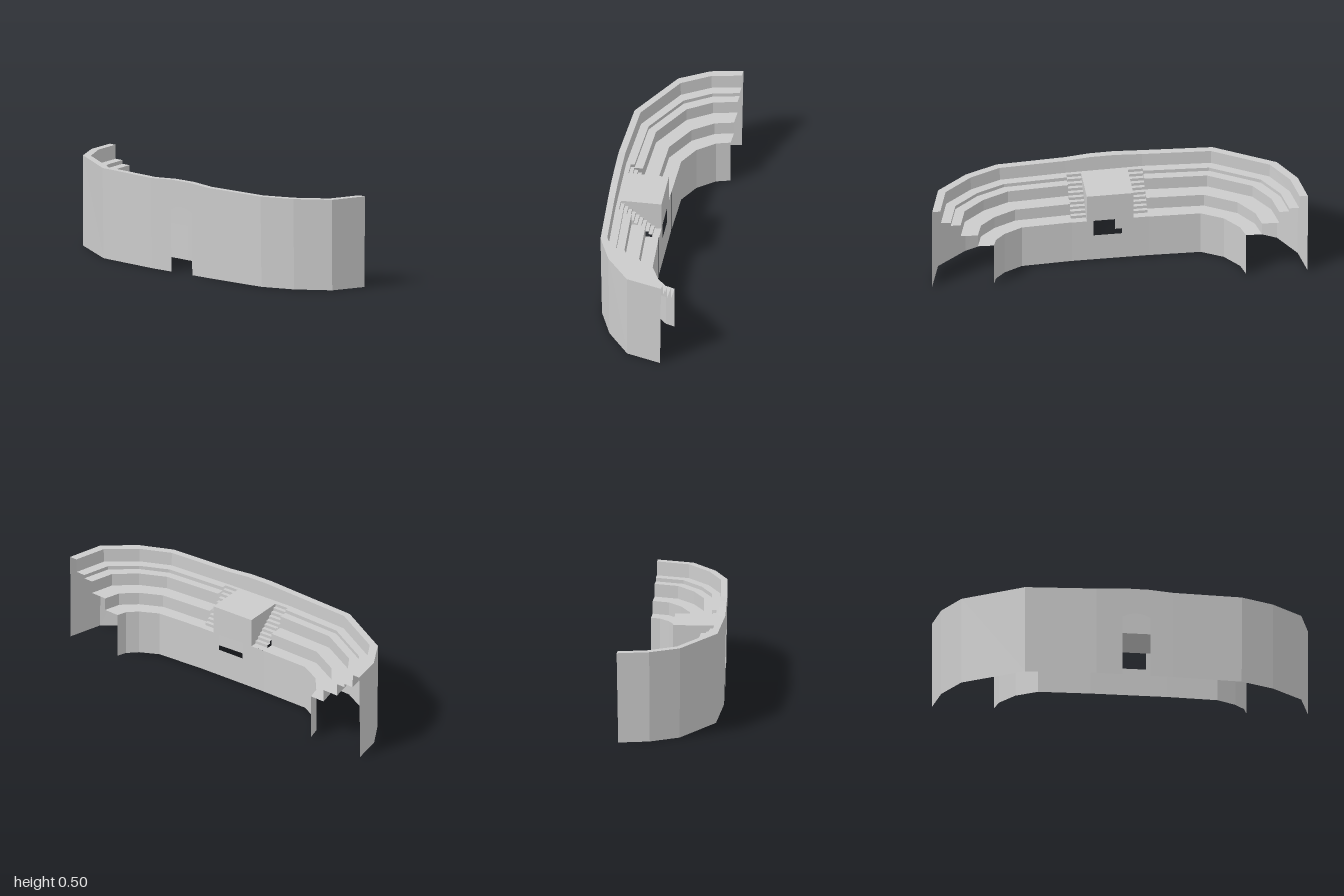
import * as THREE from 'three';

const material = new THREE.MeshStandardMaterial({ color: 0xcccccc, flatShading: true, side: THREE.DoubleSide });

// Plan columns from the right wing to the left: inner x, z, outer x, z, extra rim height
const RIGHT_WING = [
  [-0.67, -0.255, -1.0, -0.272, 0],
  [-0.65, -0.18, -0.97, -0.1, 0],
  [-0.575, -0.085, -0.88, 0.06, 0],
  [-0.46, -0.022, -0.56, 0.245, 0],
  [-0.18, -0.013, -0.18, 0.27, 0],
];
const CENTRE = [
  [-0.03, -0.012, -0.03, 0.267, 0.01],
  [0.1, -0.011, 0.1, 0.265, 0.01],
];
const LEFT_WING = [
  [0.23, -0.01, 0.23, 0.262, 0],
  [0.5, -0.02, 0.6, 0.245, 0],
  [0.6, -0.067, 0.775, 0.175, 0],
  [0.652, -0.115, 0.94, 0.05, 0],
  [0.67, -0.165, 0.998, -0.143, 0],
];
const WHOLE = [...RIGHT_WING, ...CENTRE, ...LEFT_WING];

const FLOOR = 0.255, TERRACE = 0.415, RIM = 0.49;
const lean = (y) => 0.968 + 0.032 * (y / RIM);

// Sweeps a section of [across, height] points along plan columns
function sweep(name, columns, section, lifted = false) {
  const positions = [];
  const at = (c, [t, y]) => {
    const k = t === 1 ? lean(y) : 1;
    return [
      c[0] + (c[2] - c[0]) * t,
      y + (lifted && y === RIM ? c[4] : 0),
      (c[1] + (c[3] - c[1]) * t) * k,
    ];
  };
  for (let i = 0; i < columns.length - 1; i++) {
    for (let j = 0; j < section.length - 1; j++) {
      const a = at(columns[i], section[j]), b = at(columns[i + 1], section[j]);
      const c = at(columns[i + 1], section[j + 1]), d = at(columns[i], section[j + 1]);
      positions.push(...a, ...d, ...b, ...b, ...d, ...c);
    }
  }
  const geometry = new THREE.BufferGeometry();
  geometry.setAttribute('position', new THREE.Float32BufferAttribute(positions, 3));
  geometry.computeVertexNormals();
  return named(name, geometry);
}

function named(name, geometry) {
  const mesh = new THREE.Mesh(geometry, material);
  mesh.name = name;
  return mesh;
}

// Flat panel whose depth follows a rule
function panel(name, shape, depth) {
  const geometry = new THREE.ShapeGeometry(shape, 8);
  const p = geometry.attributes.position;
  for (let i = 0; i < p.count; i++) p.setZ(i, depth(p.getX(i), p.getY(i)));
  geometry.computeVertexNormals();
  return named(name, geometry);
}

export function createModel() {
  const group = new THREE.Group();
  group.name = 'grandstand';

  // Curved wings: outer wall, inner wall and stepped seating
  const wings = [['rightWing', RIGHT_WING], ['leftWing', LEFT_WING]];
  for (const [name, columns] of wings) {
    const wing = new THREE.Group();
    wing.name = name;
    wing.add(
      sweep('outerWall', columns, [[1, 0], [1, RIM]]),
      sweep('innerWall', columns, [[0, FLOOR], [0, 0.005]]),
      sweep('seatingTiers', columns, [
        [0.86, TERRACE], [0.7, TERRACE], [0.7, 0.395], [0.54, 0.395], [0.54, 0.325],
        [0.26, 0.325], [0.26, FLOOR], [0, FLOOR],
      ]),
    );
    group.add(wing);
  }

  // Rim and back parapet run the whole length
  group.add(sweep('rim', WHOLE, [[1, RIM], [0.87, RIM], [0.86, TERRACE]], true));

  // Central outer wall with arched gateway
  const front = new THREE.Shape();
  front.moveTo(-0.18, 0);
  front.lineTo(-0.04, 0);
  front.lineTo(-0.04, 0.335);
  front.quadraticCurveTo(0.035, 0.38, 0.11, 0.335);
  front.lineTo(0.11, 0);
  front.lineTo(0.23, 0);
  front.lineTo(0.23, RIM);
  front.lineTo(0.1, RIM + 0.01);
  front.lineTo(-0.03, RIM + 0.01);
  front.lineTo(-0.18, RIM);
  group.add(panel('gatewayWall', front, (x, y) => (0.2665 - 0.0195 * x) * lean(Math.min(y, RIM))));

  // Central inner wall with an opening beneath the box
  const back = new THREE.Shape();
  [[-0.18, 0.005], [0.23, 0.005], [0.23, FLOOR], [0.115, FLOOR], [0.115, 0.16],
    [-0.04, 0.16], [-0.04, FLOOR], [-0.18, FLOOR]]
    .forEach(([x, y], i) => (i ? back.lineTo(x, y) : back.moveTo(x, y)));
  group.add(panel('innerWallOpening', back, (x) => -0.0115 + 0.006 * x));

  // Central box, level with the terrace
  const box = named('centralBox', new THREE.BoxGeometry(0.25, TERRACE - FLOOR, 0.242));
  box.position.set(0.025, (TERRACE + FLOOR) / 2, 0.109);
  group.add(box);

  // Aisle stairs on each side of the box
  const steps = 10, startZ = 0.025, endZ = 0.205;
  const section = [[-0.012, FLOOR]];
  for (let i = 0; i < steps; i++) {
    const z = startZ + (endZ - startZ) * i / (steps - 1);
    section.push([z, FLOOR + (TERRACE - FLOOR) * i / steps]);
    section.push([z, FLOOR + (TERRACE - FLOOR) * (i + 1) / steps]);
  }
  section.push([0.232, TERRACE]);
  for (const [name, x0, x1] of [['rightStairs', -0.18, -0.1], ['leftStairs', 0.15, 0.23]]) {
    // Columns one unit deep let the section be read directly as depth
    group.add(sweep(name, [[x0, 0, x0, 1, 0], [x1, 0, x1, 1, 0]], section));
  }

  return group;
}
